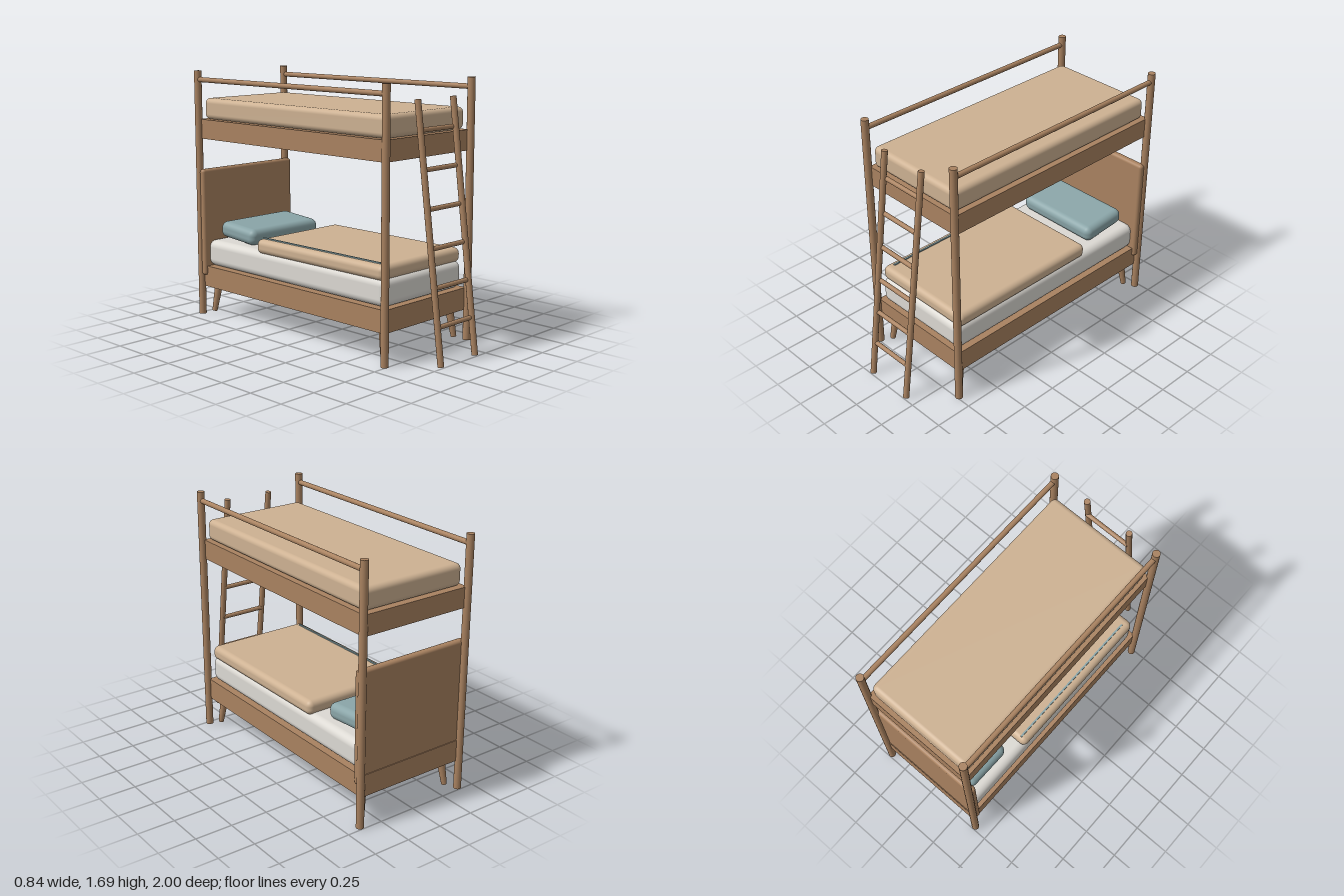
import * as THREE from 'three';
import { RoundedBoxGeometry } from 'three/addons/geometries/RoundedBoxGeometry.js';

const wood = new THREE.MeshStandardMaterial({ color: 0xa98260, name: 'wood' });
const tan = new THREE.MeshStandardMaterial({ color: 0xcdb192, name: 'tan fabric' });
const white = new THREE.MeshStandardMaterial({ color: 0xdcd9d3, name: 'white sheet' });
const teal = new THREE.MeshStandardMaterial({ color: 0x8aa5a8, name: 'teal fabric' });

export function createModel() {
  const bed = new THREE.Group();
  bed.name = 'bunkBed';

  const add = (name, geometry, material, parent = bed) => {
    const mesh = new THREE.Mesh(geometry, material);
    mesh.name = name;
    parent.add(mesh);
    return mesh;
  };

  // Round bar from point a to point b, optionally tapered
  const bar = (name, a, b, ra, rb = ra, parent = bed) => {
    const p = new THREE.Vector3(...a), q = new THREE.Vector3(...b);
    const dir = q.clone().sub(p);
    const mesh = add(name, new THREE.CylinderGeometry(rb, ra, dir.length(), 20), wood, parent);
    mesh.position.copy(p).add(q).multiplyScalar(0.5);
    mesh.quaternion.setFromUnitVectors(new THREE.Vector3(0, 1, 0), dir.normalize());
    return mesh;
  };

  // Box between y0..y1 and z0..z1, centred on x, with edges rounded by r
  const block = (name, material, width, y0, y1, z0, z1, r) => {
    const geometry = r
      ? new RoundedBoxGeometry(width, y1 - y0, z1 - z0, 5, r)
      : new THREE.BoxGeometry(width, y1 - y0, z1 - z0);
    const mesh = add(name, geometry, material);
    mesh.position.set(0, (y0 + y1) / 2, (z0 + z1) / 2);
    return mesh;
  };

  // Posts, guard rails and splayed feet
  for (const s of [-1, 1]) {
    const x = s * 0.395;
    bar('frontPost', [x, 0, 0.735], [x, 1.69, 0.735], 0.025);
    bar('backPost', [x, 0, -0.975], [x, 1.69, -0.975], 0.025);
    bar('guardRail', [x, 1.63, 0.735], [x, 1.63, -0.975], 0.017);
    bar('frontFoot', [s * 0.337, 0.02, 0.675], [s * 0.316, 0.21, 0.65], 0.018, 0.028);
    bar('backFoot', [s * 0.337, 0.02, -0.915], [s * 0.316, 0.21, -0.89], 0.018, 0.028);
  }

  // Bed frames and headboard
  block('lowerFrame', wood, 0.78, 0.2, 0.345, -0.975, 0.727);
  block('upperFrame', wood, 0.78, 1.23, 1.362, -0.975, 0.727);
  block('headboard', wood, 0.82, 0.28, 1.02, -0.97, -0.92, 0.02);

  // Bedding
  block('lowerMattress', white, 0.74, 0.345, 0.525, -0.945, 0.71, 0.05);
  block('upperMattress', tan, 0.74, 1.362, 1.505, -0.95, 0.71, 0.035);
  block('blanket', tan, 0.75, 0.508, 0.605, -0.435, 0.695, 0.038);
  const trim = block('blanketTrim', teal, 0.012, 0.604, 0.613, -0.41, 0.635);
  trim.position.x = -0.325;
  const pillow = block('pillow', teal, 0.62, 0.536, 0.646, -0.88, -0.535, 0.045);
  pillow.rotation.x = 0.08;

  // Leaning ladder
  const ladder = new THREE.Group();
  ladder.name = 'ladder';
  bed.add(ladder);
  for (const s of [-1, 1]) {
    bar('ladderRail', [s * 0.165, 0.002, 0.98], [s * 0.165, 1.588, 0.775], 0.02, 0.02, ladder);
  }
  for (let i = 0; i < 6; i++) {
    const y = 0.237 + i * 0.2335, z = 0.98 - 0.138 * y;
    bar('rung', [-0.165, y, z], [0.165, y, z], 0.015, 0.015, ladder);
  }
  return bed;
}
